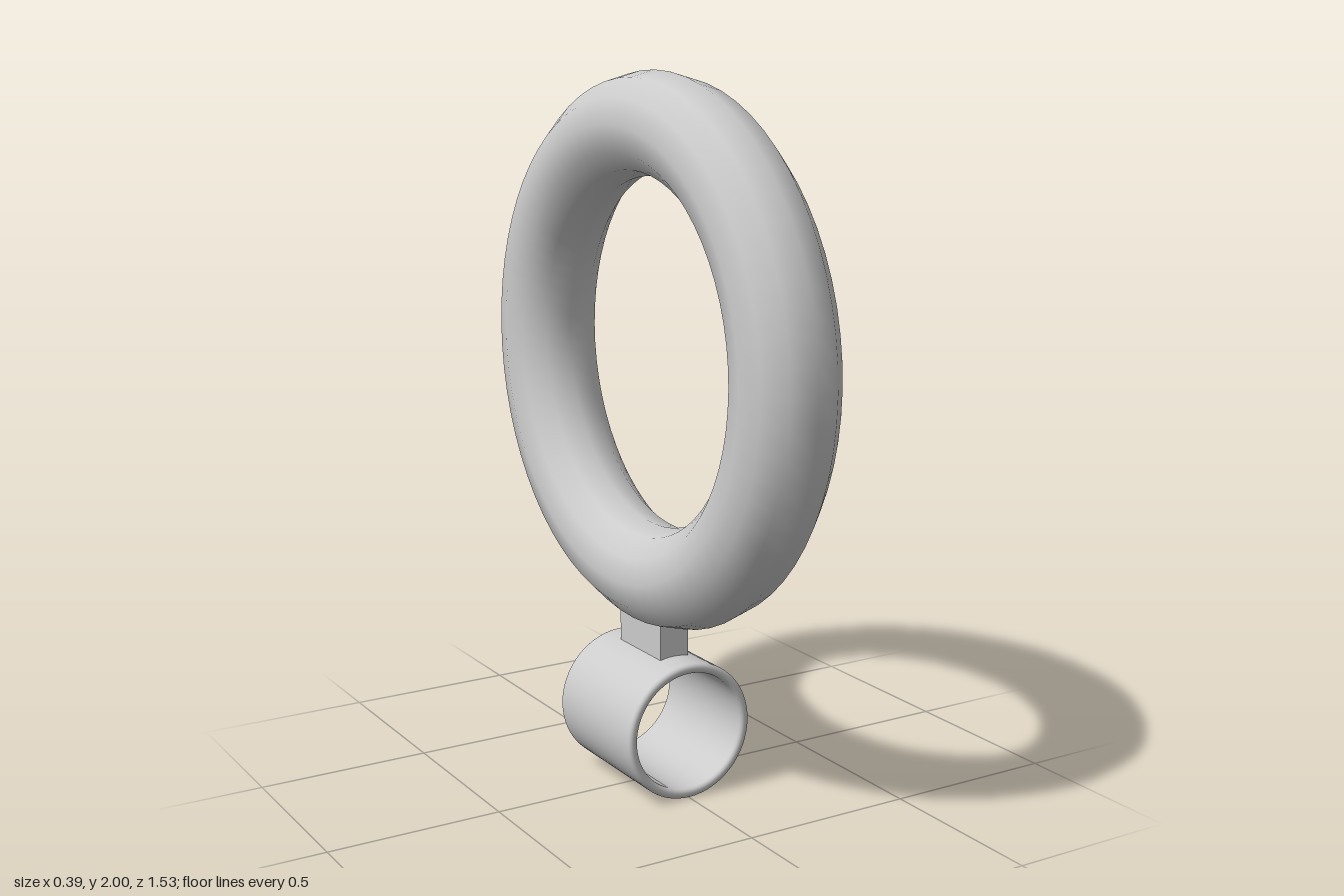
import * as THREE from 'three';

const material = new THREE.MeshStandardMaterial({ color: 0xcccccc });

function addPart(group, name, geometry, x, y, z) {
  const mesh = new THREE.Mesh(geometry, material);
  mesh.name = name;
  mesh.position.set(x, y, z);
  group.add(mesh);
}

// Closed wall section of a sleeve with rounded rims, turned about the z axis
function sleeveGeometry(inner, outer, length, bevel, steps = 6) {
  const h = length / 2 - bevel;
  const corners = [
    [outer - bevel, -h, -Math.PI / 2],
    [outer - bevel, h, 0],
    [inner + bevel, h, Math.PI / 2],
    [inner + bevel, -h, Math.PI],
  ];
  const points = [];
  for (const [cx, cy, start] of corners) {
    for (let i = 0; i <= steps; i++) {
      const a = start + (i / steps) * Math.PI / 2;
      points.push(new THREE.Vector2(cx + bevel * Math.cos(a), cy + bevel * Math.sin(a)));
    }
  }
  points.push(points[0].clone());
  return new THREE.LatheGeometry(points, 64).rotateX(Math.PI / 2);
}

export function createModel() {
  const group = new THREE.Group();
  group.name = 'ringOnSleeve';

  // Large upright ring with a twelve-sided section
  addPart(group, 'largeRing',
    new THREE.TorusGeometry(0.624, 0.141, 12, 64).rotateY(Math.PI / 2), 0, 1.235, 0);

  // Block joining the ring to the sleeve, reaching slightly into its bore
  addPart(group, 'connectorBlock', new THREE.BoxGeometry(0.09, 0.165, 0.22), 0, 0.4275, -0.004);

  // Hollow sleeve running front to back
  addPart(group, 'sleeve', sleeveGeometry(0.168, 0.196, 0.394, 0.012), 0, 0.198, -0.004);

  return group;
}
